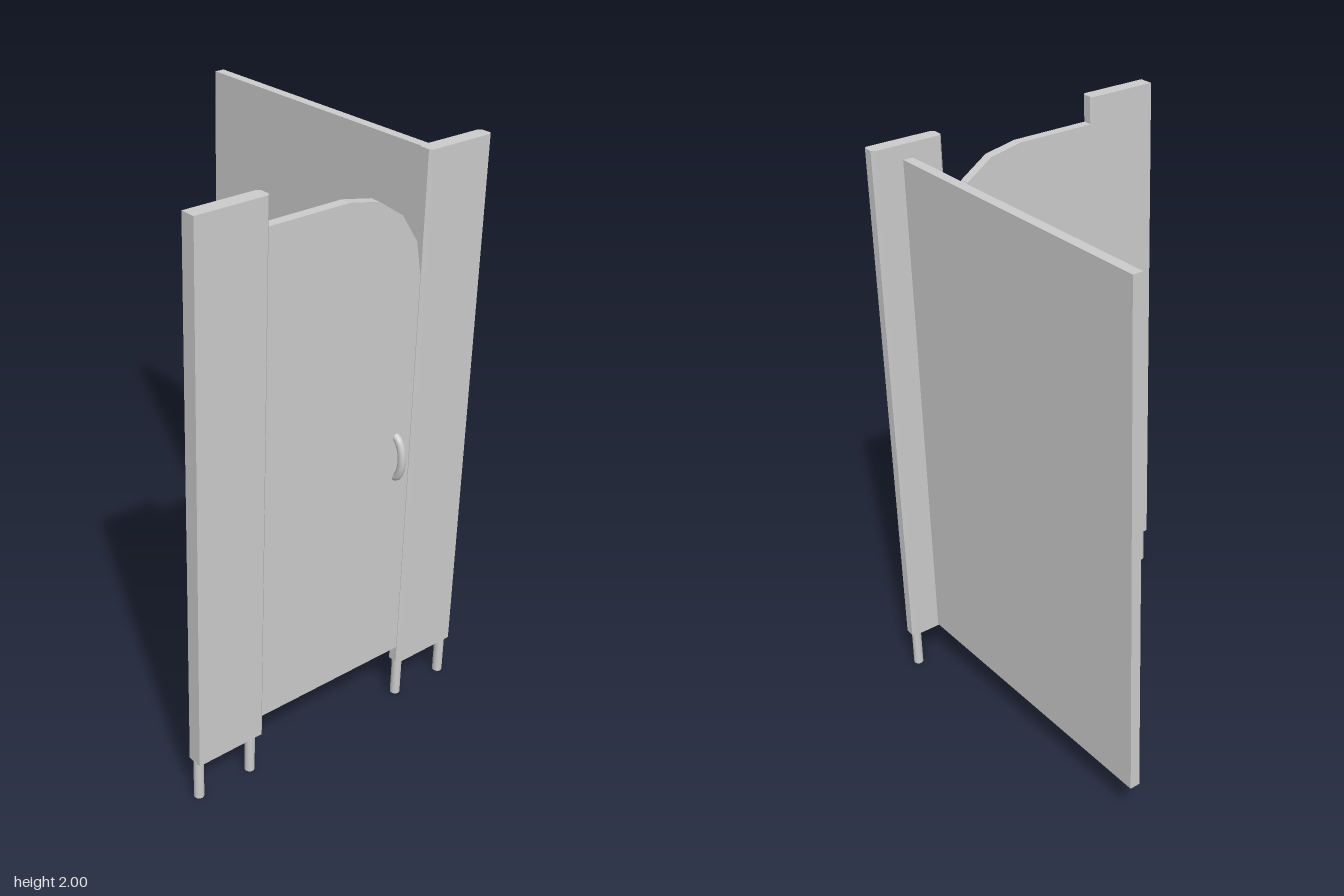
import * as THREE from 'three';

const material = new THREE.MeshStandardMaterial({ color: 0xcccccc, flatShading: true });
const smooth = new THREE.MeshStandardMaterial({ color: 0xcccccc });

export function createModel() {
  const group = new THREE.Group();
  const add = (name, geometry, x = 0, y = 0, z = 0, mat = material) => {
    const mesh = new THREE.Mesh(geometry, mat);
    mesh.name = name;
    mesh.position.set(x, y, z);
    group.add(mesh);
    return mesh;
  };

  // Upright post panel: plan outline with chamfered ends (cl, cr), raised to full height
  const pilaster = (name, x0, x1, cl, cr) => {
    const z0 = 0.52, z1 = 0.573;
    const pts = [
      [x0 + cl, -z1], [x1 - cr, -z1], [x1, -z1 + cr], [x1, -z0 - cr],
      [x1 - cr, -z0], [x0 + cl, -z0], [x0, -z0 - cl], [x0, -z1 + cl],
    ].map(([x, y]) => new THREE.Vector2(x, y));
    const outline = pts.filter((p, i) => !p.equals(pts[(i + 1) % pts.length]));
    const geometry = new THREE.ExtrudeGeometry(new THREE.Shape(outline), { depth: 1.855, bevelEnabled: false });
    geometry.rotateX(-Math.PI / 2);
    add(name, geometry, 0, 0.145, 0);
  };
  pilaster('rightPilaster', -0.558, -0.297, 0, 0.01);
  pilaster('leftPilaster', 0.302, 0.558, 0.01, 0.01);

  // Door with one faceted rounded upper corner
  const door = new THREE.Shape();
  door.moveTo(-0.3, 0.21);
  door.lineTo(0.3, 0.21);
  for (let i = 0; i <= 4; i++) {
    const a = (i * Math.PI) / 8;
    door.lineTo(0.3 * Math.cos(a), 1.605 + 0.3 * Math.sin(a));
  }
  door.lineTo(-0.3, 1.905);
  add('door', new THREE.ExtrudeGeometry(door, { depth: 0.036, bevelEnabled: false }), 0, 0, 0.527);

  // Side partition running back
  add('sidePartition', new THREE.BoxGeometry(0.036, 1.8, 1.125), 0.433, 1.05, -0.0425);

  // Support feet
  for (const x of [-0.543, -0.335, 0.322, 0.53]) {
    add('foot', new THREE.CylinderGeometry(0.017, 0.017, 0.15, 16), x, 0.075, 0.548, smooth);
  }

  // Bowed door handle, ends sunk into the door
  const bow = new THREE.CatmullRomCurve3([
    [0.239, 1.066, 0.553], [0.239, 1.058, 0.572], [0.241, 1.025, 0.587], [0.242, 0.99, 0.591],
    [0.243, 0.955, 0.587], [0.244, 0.923, 0.572], [0.244, 0.915, 0.553],
  ].map((p) => new THREE.Vector3(...p)));
  add('handle', new THREE.TubeGeometry(bow, 24, 0.014, 12), 0, 0, 0, smooth);

  return group;
}
